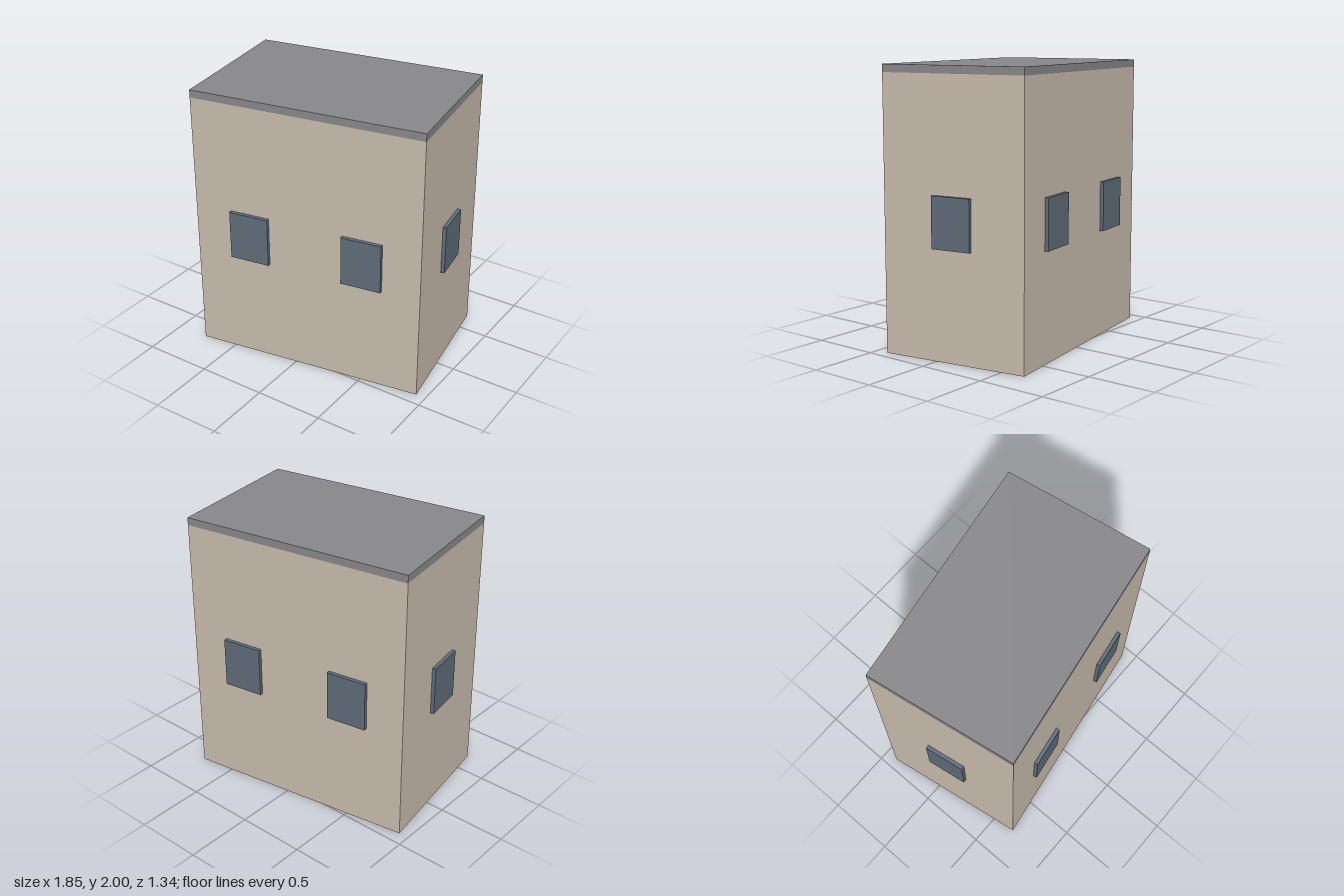
import * as THREE from 'three';

const WIDTH = 1.704, DEPTH = 1.09, HEIGHT = 2, ROOF = 0.055;
const WIN_W = 0.295, WIN_H = 0.36, WIN_Y = 0.96, WIN_OUT = 0.027;

function material(name, color) {
  const m = new THREE.MeshStandardMaterial({ color });
  m.name = name;
  return m;
}

export function createModel() {
  const wall = material('wall beige', 0xc8bdae);
  const slate = material('roof grey', 0x88888a);
  const glass = material('window blue grey', 0x5f6c79);

  const building = new THREE.Group();
  building.name = 'building';

  const addBox = (name, mat, w, h, d, x, y, z) => {
    const mesh = new THREE.Mesh(new THREE.BoxGeometry(w, h, d), mat);
    mesh.name = name;
    mesh.position.set(x, y, z);
    building.add(mesh);
  };

  // Wall block with a flush roof slab
  addBox('walls', wall, WIDTH, HEIGHT - ROOF, DEPTH, 0, (HEIGHT - ROOF) / 2, 0);
  addBox('roof', slate, WIDTH, ROOF, DEPTH, 0, HEIGHT - ROOF / 2, 0);

  // Raised windows: two on each long wall, one on each end wall
  for (const side of [1, -1]) {
    const z = side * (DEPTH + WIN_OUT) / 2;
    for (const x of [-WIDTH / 4, WIDTH / 4]) {
      addBox(side > 0 ? 'frontWindow' : 'backWindow', glass, WIN_W, WIN_H, WIN_OUT, x, WIN_Y, z);
    }
    addBox(side > 0 ? 'leftWindow' : 'rightWindow', glass,
      WIN_OUT, WIN_H, WIN_W, side * (WIDTH + WIN_OUT) / 2, WIN_Y, 0);
  }

  // The whole block stands turned on its plot
  building.rotation.y = 0.155;

  const model = new THREE.Group();
  model.name = 'model';
  model.add(building);
  return model;
}
